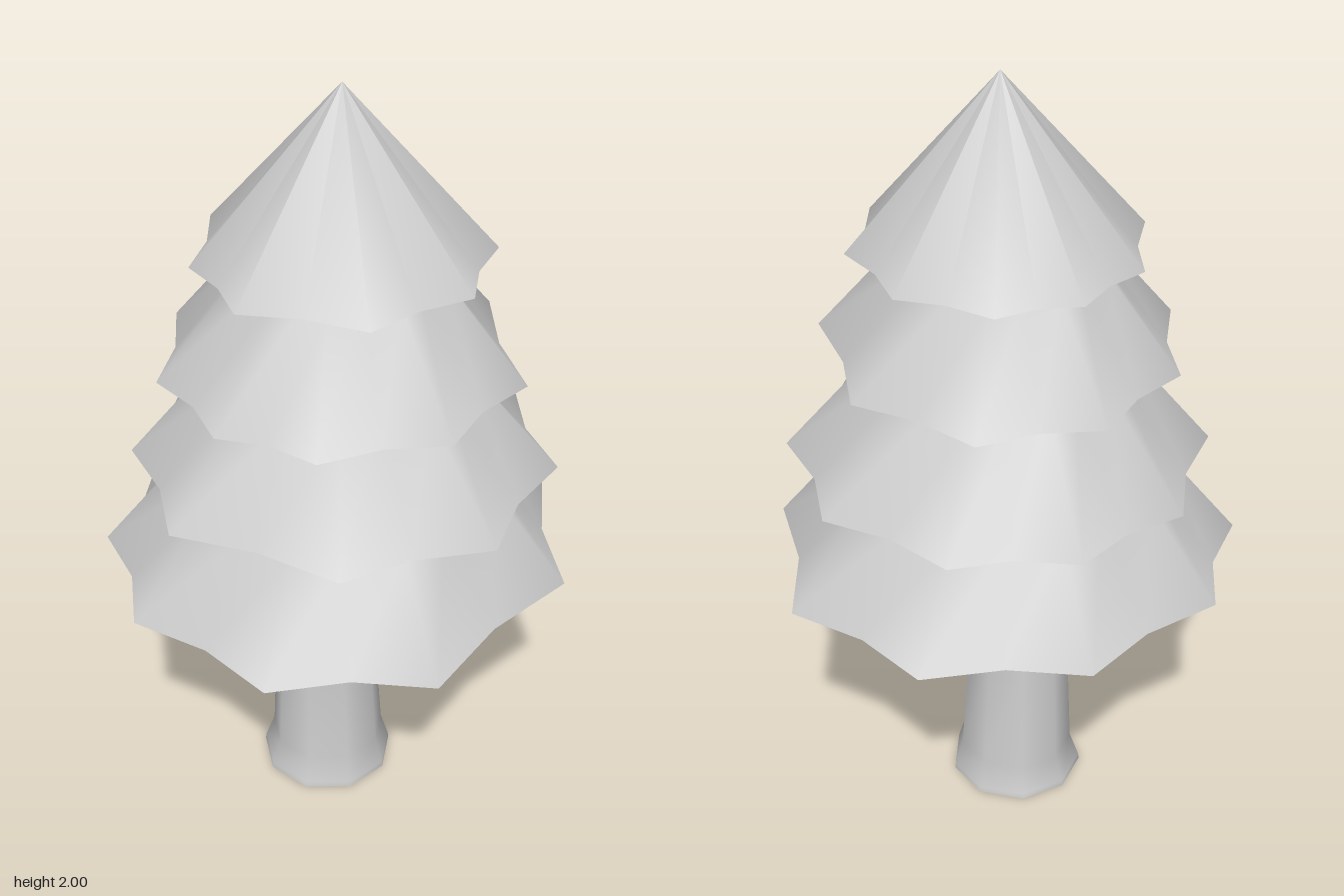
import * as THREE from 'three';

const grey = new THREE.MeshStandardMaterial({ color: 0xcccccc });
grey.name = 'plain grey';

// Smooth skin through closed rings of [x, y, z] points, listed bottom to top
function loft(rings) {
  const n = rings[0].length, index = [];
  for (let r = 0; r < rings.length - 1; r++) {
    for (let i = 0; i < n; i++) {
      const a = r * n + i, b = r * n + (i + 1) % n;
      index.push(a, a + n, b, b, a + n, b + n);
    }
  }
  const geometry = new THREE.BufferGeometry();
  geometry.setAttribute('position', new THREE.Float32BufferAttribute(rings.flat(2), 3));
  geometry.setIndex(index);
  geometry.computeVertexNormals();
  return geometry;
}

// Flat face looking down, bounded by a ring
function underside(ring) {
  const shape = new THREE.Shape(ring.map(([x, , z]) => new THREE.Vector2(x, z)));
  return new THREE.ShapeGeometry(shape).rotateX(Math.PI / 2).translate(0, ring[0][1], 0);
}

function add(parent, name, geometry) {
  const mesh = new THREE.Mesh(geometry, grey);
  mesh.name = name;
  parent.add(mesh);
}

// Jagged rim: nine tips with a notch set slightly inwards between each pair
function jaggedRing(tips, y) {
  return tips.flatMap(([x, z], i) => {
    const [nextX, nextZ] = tips[(i + 1) % tips.length];
    return [[x, y, z], [(x + nextX) * 0.474, y, (z + nextZ) * 0.474]];
  });
}

// A branch skirt: sloping skin, flat underside and a collar reaching the skirt above
function branchSkirt(name, y, neckY, neckScale, collarY, tips) {
  const tier = new THREE.Group();
  tier.name = name;
  const rim = jaggedRing(tips, y);
  const shrunk = (scale, height) => rim.map(([x, , z]) => [x * scale, height, z * scale]);
  const neck = shrunk(neckScale, neckY);
  add(tier, 'skirt', loft([rim, neck]));
  add(tier, 'underside', underside(rim));
  add(tier, 'collar', loft([neck, shrunk(neckScale * 0.96, collarY)]));
  return tier;
}

// The pointed top skirt, closed at its apex
function pointedTop(name, y, apex, tips) {
  const tier = new THREE.Group();
  tier.name = name;
  const rim = jaggedRing(tips, y);
  add(tier, 'skirt', loft([rim, rim.map(() => apex)]));
  add(tier, 'underside', underside(rim));
  return tier;
}

export function createModel() {
  const tree = new THREE.Group();
  tree.name = 'tree';

  // Branch skirts; tips run back, left, front, right as x, z
  tree.add(
    branchSkirt('bottomBranches', 0.735, 0.98, 0.67, 1.012, [
      [-.04, -.59], [.345, -.49], [.575, -.115], [.475, .375], [.13, .585],
      [-.27, .525], [-.515, .28], [-.58, -.05], [-.405, -.415]]),
    branchSkirt('lowerBranches', 1.01, 1.275, 0.58, 1.302, [
      [-.08, -.51], [.265, -.455], [.5, -.2], [.51, .165], [.25, .445],
      [-.18, .485], [-.445, .245], [-.5, -.1], [-.355, -.37]]),
    branchSkirt('upperBranches', 1.3, 1.55, 0.55, 1.577, [
      [-.115, -.425], [.215, -.38], [.455, -.085], [.41, .21], [.18, .42],
      [-.07, .445], [-.305, .32], [-.43, .04], [-.36, -.245]]),
    pointedTop('treeTop', 1.575, [0.01, 2, 0], [
      [-.12, -.33], [.12, -.34], [.315, -.195], [.365, .035], [.23, .27],
      [-.065, .35], [-.26, .23], [-.345, 0], [-.28, -.2]]),
  );

  // Trunk: slightly leaning, flared at the foot and under the branches
  const sides = 9;
  const rings = [
    [0, -.032, .172], [.015, -.032, .17], [.085, -.03, .148],
    [.4, -.035, .131], [.715, -.01, .118], [.737, -.005, .145],
  ].map(([y, x, radius]) => Array.from({ length: sides }, (_, i) => {
    const angle = (i / sides) * Math.PI * 2;
    return [x + radius * Math.cos(angle), y, 0.004 + radius * Math.sin(angle)];
  }));
  add(tree, 'trunk', loft(rings));
  add(tree, 'trunkBase', underside(rings[0]));

  return tree;
}
